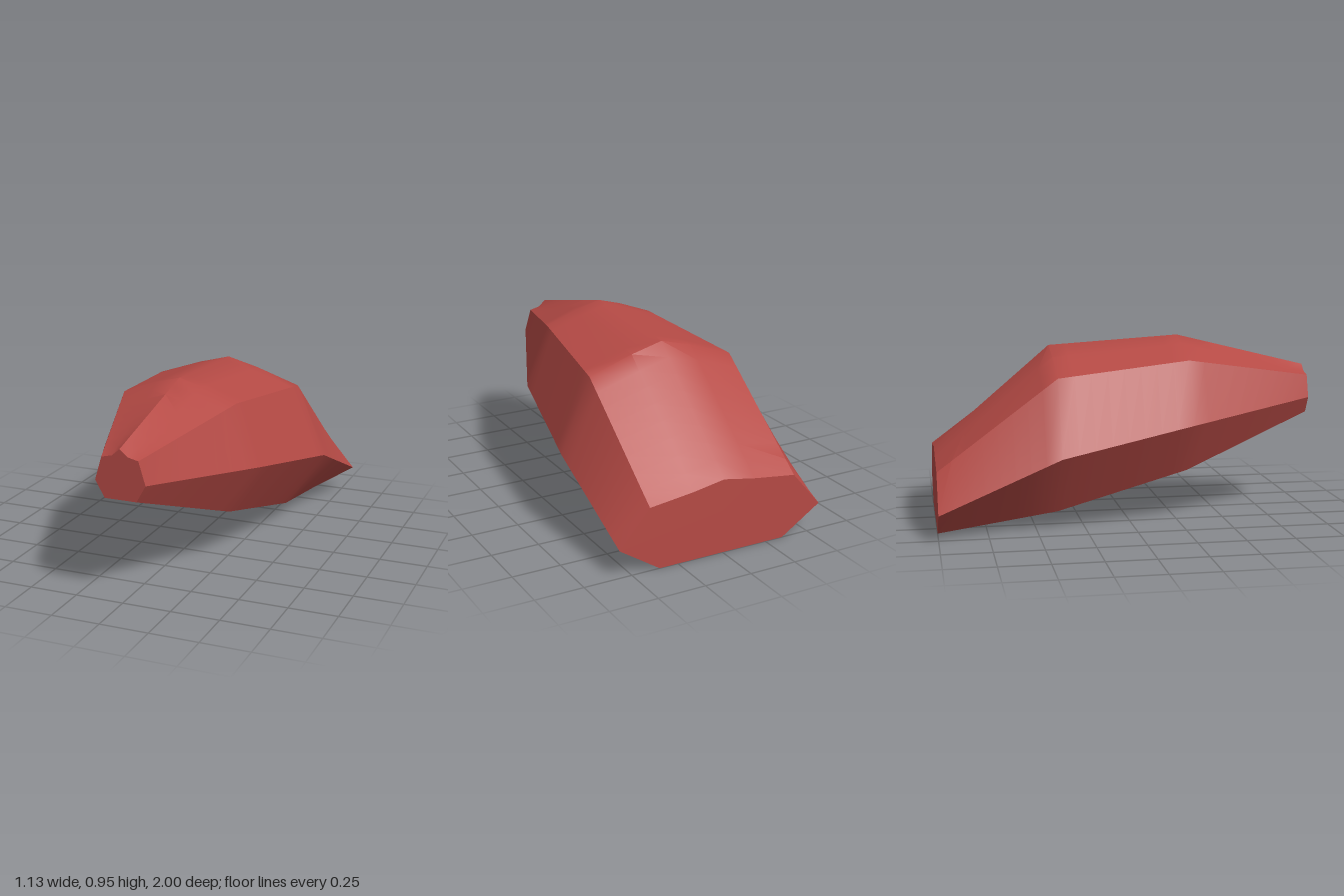
import * as THREE from 'three';
import { toCreasedNormals } from 'three/addons/utils/BufferGeometryUtils.js';

// Half cross-sections from nose to tail: bottom corner, side, shoulder, upper bevel, ridge
const SECTIONS = [
  { z: 1, half: [[0.082, 0.525], [0.13, 0.61], [0.095, 0.727], [0.04, 0.74], [0, 0.775]] },
  { z: 0.3, half: [[0.275, 0.265], [0.435, 0.525], [0.31, 0.845], [0.13, 0.912], [0, 0.948]] },
  { z: -0.39, half: [[0.35, 0.09], [0.565, 0.4], [0.405, 0.78], [0.17, 0.86], [0, 0.905]] },
  { z: -1, half: [[0.35, 0], [0.565, 0.14], [0.405, 0.325], [0.17, 0.355], [0, 0.385]] },
];
const STEPS = 8; // straight slices between neighbouring sections

// Mirror a half section into a closed ring, counterclockwise from the front
function ring({ z, half }) {
  const left = half.map(([x, y]) => new THREE.Vector3(x, y, z));
  const right = half.slice(0, -1).reverse().map(([x, y]) => new THREE.Vector3(-x, y, z));
  return [...left, ...right];
}

function loft(rows) {
  const pos = [];
  const tri = (...pts) => pts.forEach((p) => pos.push(p.x, p.y, p.z));
  const n = rows[0].length;
  // Skin
  for (let i = 0; i < rows.length - 1; i++) {
    for (let j = 0; j < n; j++) {
      const k = (j + 1) % n;
      const a = rows[i][j], b = rows[i][k], c = rows[i + 1][k], d = rows[i + 1][j];
      tri(a, d, c);
      tri(a, c, b);
    }
  }
  // Flat end caps
  const first = rows[0], last = rows[rows.length - 1];
  const centre = (r) => r.reduce((s, p) => s.add(p), new THREE.Vector3()).divideScalar(n);
  const front = centre(first), back = centre(last);
  for (let j = 0; j < n; j++) {
    const k = (j + 1) % n;
    tri(front, first[j], first[k]);
    tri(back, last[k], last[j]);
  }
  const geometry = new THREE.BufferGeometry();
  geometry.setAttribute('position', new THREE.Float32BufferAttribute(pos, 3));
  return toCreasedNormals(geometry, 0.62);
}

export function createModel() {
  const rings = SECTIONS.map(ring);
  const rows = [rings[0]];
  for (let s = 0; s < rings.length - 1; s++) {
    for (let t = 1; t <= STEPS; t++) {
      rows.push(rings[s].map((p, j) => p.clone().lerp(rings[s + 1][j], t / STEPS)));
    }
  }

  // Faceted body shell with a narrow nose and a sloping tail
  const body = new THREE.Mesh(loft(rows), new THREE.MeshStandardMaterial({ color: 0xb54a45 }));
  body.name = 'bodyShell';

  const group = new THREE.Group();
  group.name = 'taperedHull';
  group.add(body);
  return group;
}
